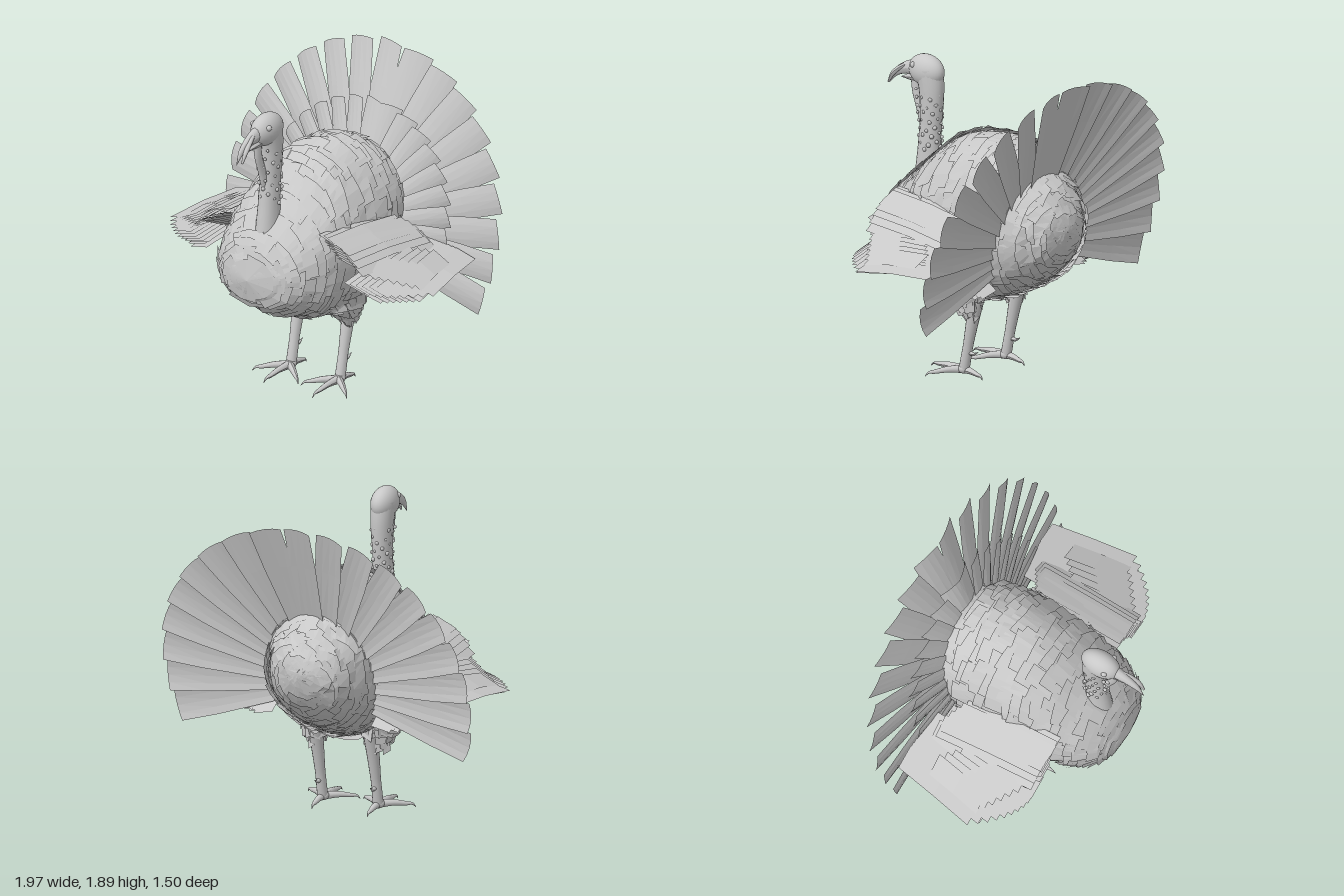
import * as THREE from 'three';

const V = (x, y, z) => new THREE.Vector3(x, y, z);
const lerp = THREE.MathUtils.lerp;

export function createModel() {
  const group = new THREE.Group();
  const grey = new THREE.MeshStandardMaterial({ color: 0xc8c8c8, side: THREE.DoubleSide });
  grey.name = 'lightGrey';
  let seed = 7;
  const rnd = () => (seed = (seed * 16807) % 2147483647) / 2147483647;
  const jit = (s) => (rnd() - 0.5) * 2 * s;

  const add = (name, geo) => {
    const m = new THREE.Mesh(geo, grey);
    m.name = name;
    group.add(m);
    return m;
  };
  const ball = (name, p, sx, sy = sx, sz = sx, seg = 10) => {
    const m = add(name, new THREE.SphereGeometry(1, seg * 2, seg));
    m.position.copy(p);
    m.scale.set(sx, sy, sz);
  };

  // collects loose quads into one faceted mesh
  const plumage = () => {
    const pos = [];
    return {
      quad(a, b, c, d) {
        for (const p of [a, b, c, a, c, d]) pos.push(p.x, p.y, p.z);
      },
      build(name) {
        const g = new THREE.BufferGeometry();
        g.setAttribute('position', new THREE.Float32BufferAttribute(pos, 3));
        g.computeVertexNormals();
        add(name, g);
      },
    };
  };

  // tube along points with a radius for each point
  const taper = (name, pts, radii, seg = 16, squash = 1) => {
    const path = new THREE.CatmullRomCurve3(pts);
    const n = pts.length * 5;
    const g = new THREE.TubeGeometry(path, n, 1, seg);
    const p = g.attributes.position;
    for (let i = 0; i < p.count; i++) {
      const u = Math.floor(i / (seg + 1)) / n;
      const c = path.getPointAt(u);
      const f = u * (radii.length - 1), k = Math.min(Math.floor(f), radii.length - 2);
      const r = lerp(radii[k], radii[k + 1], f - k);
      p.setXYZ(i, c.x + (p.getX(i) - c.x) * r * squash,
        c.y + (p.getY(i) - c.y) * r, c.z + (p.getZ(i) - c.z) * r);
    }
    g.computeVertexNormals();
    add(name, g);
  };

  // body sections: z, top, bottom, half width
  const sections = [
    [0.645, 0.836, 0.834, 0.001], [0.61, 0.97, 0.71, 0.185], [0.52, 1.09, 0.63, 0.285],
    [0.40, 1.19, 0.565, 0.34], [0.27, 1.31, 0.51, 0.365], [0.12, 1.42, 0.465, 0.375],
    [-0.05, 1.46, 0.46, 0.38], [-0.22, 1.46, 0.51, 0.38], [-0.37, 1.42, 0.58, 0.35],
    [-0.50, 1.32, 0.66, 0.29], [-0.60, 1.20, 0.77, 0.21], [-0.65, 1.10, 0.88, 0.12],
    [-0.67, 0.996, 0.994, 0.001],
  ];
  const spineA = new THREE.CatmullRomCurve3(sections.map((s) => V(s[0], s[1], s[2])));
  const spineB = new THREE.CatmullRomCurve3(sections.map((s) => V(s[0], s[3], 0)));
  const surface = (t, a, lift = 0) => {
    const u = THREE.MathUtils.clamp(t, 0, 1);
    const A = spineA.getPoint(u), w = spineB.getPoint(u).y;
    const h = (A.y - A.z) / 2, s = Math.sin(a);
    // lower half a little fuller than an ellipse
    const wide = s < 0 ? 1 + 0.07 * Math.sin(2 * a) ** 2 : 1;
    return V(Math.cos(a) * (w + lift) * wide, (A.y + A.z) / 2 + s * (h + lift), A.x);
  };
  const core = new THREE.BufferGeometry();
  const cp = [], ci = [], NU = 36, NA = 32;
  for (let i = 0; i <= NU; i++) for (let j = 0; j <= NA; j++) {
    cp.push(...surface(i / NU, (j / NA) * Math.PI * 2).toArray());
    if (i < NU && j < NA) {
      const a = i * (NA + 1) + j, b = a + NA + 1;
      ci.push(a, b, a + 1, b, b + 1, a + 1);
    }
  }
  core.setAttribute('position', new THREE.Float32BufferAttribute(cp, 3));
  core.setIndex(ci);
  core.computeVertexNormals();
  add('body', core);

  // overlapping feather rows around the body, rougher towards the rear
  const down = plumage();
  const ROWS = 32;
  for (let i = 0; i < ROWS; i++) {
    const t = i / ROWS, rough = t > 0.7 ? 1.7 : 1;
    const n = Math.max(7, Math.round(spineB.getPoint(t).y * 58));
    for (let j = 0; j < n; j++) {
      const a = ((j + (i % 2) * 0.5 + jit(0.25)) / n) * Math.PI * 2;
      const da = (Math.PI / n) * (1.1 + rnd() * 0.4), skew = jit(0.008) * rough;
      const t0 = t + jit(0.01), t1 = t0 + 0.06 + rnd() * 0.02;
      const lift = 0.012 + rnd() * 0.02 * rough, twist = jit(0.009) * rough;
      const lean = (x) => 0.03 * Math.sin(x) * Math.sin(Math.PI * t);
      const edge = (x, k) => [surface(t0 + lean(x), x, 0.003), surface(t1 + lean(x) + skew * k, x, lift + twist * k)];
      const [p0, p1] = edge(a - da, 1), [q0, q1] = edge(a, 0), [r0, r1] = edge(a + da, -1);
      down.quad(p0, p1, q1, q0);
      down.quad(q0, q1, r1, r0);
    }
  }
  down.build('bodyFeathers');

  // pleated tail fan on a tilted shallow cone: long rear row, short front row
  const fan = (name, count, from, to, top, side, half, dz) => {
    const f = plumage();
    const steps = [0.12, 0.45, 0.75, 1];
    for (let i = 0; i < count; i++) {
      const ang = THREE.MathUtils.degToRad(lerp(from, to, i / (count - 1)));
      const R = lerp(side, top, Math.max(0, Math.sin(ang)));
      const turn = ang < Math.PI / 2 ? 1 : -1;
      const at = (s, col) => {
        const k = (col - 2) / 2, w = k * half * lerp(0.5, 1, Math.min(1, s / 0.8));
        const r = R * s - (s === 1 ? 0.012 * k * k : 0);
        const dy = Math.sin(ang) * r + Math.cos(ang) * w;
        return V(Math.cos(ang) * r - Math.sin(ang) * w, 0.87 + dy,
          -0.35 - 0.1 * r - 0.27 * dy + dz + turn * k * 0.024 * s - 0.012 * k * k);
      };
      for (let k = 0; k < 3; k++) for (let c = 0; c < 4; c++) {
        f.quad(at(steps[k], c), at(steps[k + 1], c), at(steps[k + 1], c + 1), at(steps[k], c + 1));
      }
    }
    f.build(name);
  };
  fan('tailFeathers', 19, -16, 196, 1.03, 0.985, 0.094, 0);
  fan('tailCoverts', 19, -6, 186, 0.72, 0.68, 0.068, 0.05);

  // wings: sloping inner sheet, top coverts and stepped outer feathers
  for (const s of [1, -1]) {
    const wing = plumage();
    const blade = (front, back, half, drop) => {
      const mid = front.clone().lerp(back, 0.5).add(V(0, 0.012, 0));
      const off = (p, k) => V(s * (p.x + k * half), p.y - k * drop, p.z);
      for (const k of [-1, 0]) {
        wing.quad(off(front, k), off(mid, k), off(mid, k + 1), off(front, k + 1));
        wing.quad(off(mid, k), off(back, k), off(back, k + 1), off(mid, k + 1));
      }
    };
    // inner flight feathers
    for (let i = 0; i < 7; i++) {
      const u = i / 6;
      blade(V(0.37 + 0.15 * u, 1.07 - 0.07 * u, 0.33 + 0.05 * u),
        V(0.38 + 0.13 * u, 0.64 + 0.01 * (i % 2), -0.4 + 0.012 * i), 0.06, 0.012);
    }
    // top coverts
    for (let i = 0; i < 7; i++) {
      const u = i / 6;
      blade(V(0.38 + 0.19 * u, 1.1 - 0.13 * u * u, 0.37 - 0.02 * u),
        V(0.4 + 0.2 * u, 1.05 - 0.12 * u * u, -0.2 - 0.02 * i), 0.06, 0.02 + 0.025 * u);
    }
    // long outer feathers
    for (let i = 0; i < 10; i++) {
      const u = i / 9;
      blade(V(0.57 + 0.33 * u, 0.84 - 0.01 * u, 0.36 - 0.24 * u * u),
        V(0.56 + 0.25 * u, 0.91 - 0.04 * u, -0.37 - 0.03 * u), 0.07, 0.018);
    }
    // short upper and lower outer layers
    for (let i = 0; i < 7; i++) {
      const u = i / 6;
      blade(V(0.57 + 0.26 * u, 0.94 - 0.08 * u, 0.32 - 0.19 * u),
        V(0.57 + 0.2 * u, 0.95 - 0.05 * u, -0.02 - 0.2 * u), 0.06, 0.03);
      blade(V(0.64 + 0.21 * u, 0.76 + 0.03 * u, 0.27 - 0.1 * u),
        V(0.58 + 0.2 * u, 0.85, -0.34), 0.06, 0.012);
    }
    wing.build(s > 0 ? 'leftWing' : 'rightWing');
  }

  // neck, head and beak
  taper('neck', [V(0, 1.08, 0.44), V(0, 1.3, 0.425), V(0, 1.5, 0.412), V(0, 1.64, 0.412), V(0, 1.75, 0.43)],
    [0.085, 0.075, 0.07, 0.078, 0.09], 20, 0.82);
  ball('head', V(0, 1.735, 0.45), 0.076, 0.098, 0.125, 16);
  taper('upperBeak', [V(0, 1.735, 0.53), V(0, 1.715, 0.61), V(0, 1.67, 0.69), V(0, 1.6, 0.74)],
    [0.052, 0.036, 0.022, 0.002], 12, 0.75);
  taper('lowerBeak', [V(0, 1.68, 0.52), V(0, 1.665, 0.59), V(0, 1.65, 0.65)], [0.032, 0.02, 0.002], 10);
  taper('snood', [V(0, 1.76, 0.56), V(0.02, 1.73, 0.62), V(0.03, 1.67, 0.69), V(0.03, 1.61, 0.725)],
    [0.01, 0.013, 0.015, 0.006], 10);
  taper('wattle', [V(0, 1.67, 0.54), V(0, 1.58, 0.53), V(0, 1.45, 0.485), V(0, 1.3, 0.45)],
    [0.03, 0.027, 0.03, 0.02], 12, 0.7);
  for (const s of [1, -1]) ball('eye', V(s * 0.057, 1.77, 0.505), 0.018);
  for (let i = 0; i < 64; i++) {
    const y = 1.27 + 0.37 * ((i * 0.618) % 1), a = (i / 64) * Math.PI * 2;
    const front = Math.sin(a) > 0.7 ? 0.09 * (y - 1.25) : 0;
    ball('wart', V(Math.cos(a) * 0.058, y, 0.414 + Math.sin(a) * 0.07 + front),
      0.008 + rnd() * 0.007, undefined, undefined, 5);
  }

  // thighs, legs and feet
  for (const s of [1, -1]) {
    const thigh = plumage();
    const ring = (a, h, out) => {
      const r = lerp(0.05, 0.15, h) + out;
      return V(s * (0.2 + Math.cos(a) * r), 0.42 + h * 0.2,
        lerp(-0.06, 0.02, h) + Math.sin(a) * r * lerp(1, 1.5, h));
    };
    for (let k = 0; k < 6; k++) for (let j = 0; j < 11; j++) {
      const a = ((j + (k % 2) / 2) / 11) * Math.PI * 2 + jit(0.15), h = 1 - k / 6;
      const low = h - 0.34 - jit(0.1), tip = jit(0.08), out = 0.02 + jit(0.015);
      thigh.quad(ring(a - 0.38, h, 0), ring(a - 0.32, low - tip, out),
        ring(a + 0.32, low + tip, out + jit(0.01)), ring(a + 0.38, h, 0));
    }
    thigh.build('thighFeathers');
    const X = (x, y, z) => V(s * x, y, z);
    taper('leg', [X(0.18, 0.5, -0.115), X(0.18, 0.4, -0.09), X(0.18, 0.22, -0.05), X(0.18, 0.05, -0.015)],
      [0.045, 0.037, 0.03, 0.032], 14);
    ball('ankle', X(0.18, 0.05, -0.01), 0.036, 0.03, 0.036);
    taper('spur', [X(0.18, 0.16, -0.04), X(0.18, 0.155, -0.09), X(0.18, 0.175, -0.125)], [0.016, 0.011, 0.001], 8);
    const toes = [['middleToe', 0.0, 0.25], ['innerToe', -0.17, 0.14], ['outerToe', 0.17, 0.14], ['backToe', 0, -0.16]];
    for (const [name, dx, dz] of toes) {
      const at = (u, y) => X(0.18 + dx * u, y, dz * u);
      taper(name, [at(0, 0.045), at(0.4, 0.045), at(0.75, 0.034), at(0.9, 0.03), at(1, 0.008)],
        [0.026, 0.021, 0.017, 0.012, 0.001], 10);
    }
  }
  return group;
}
